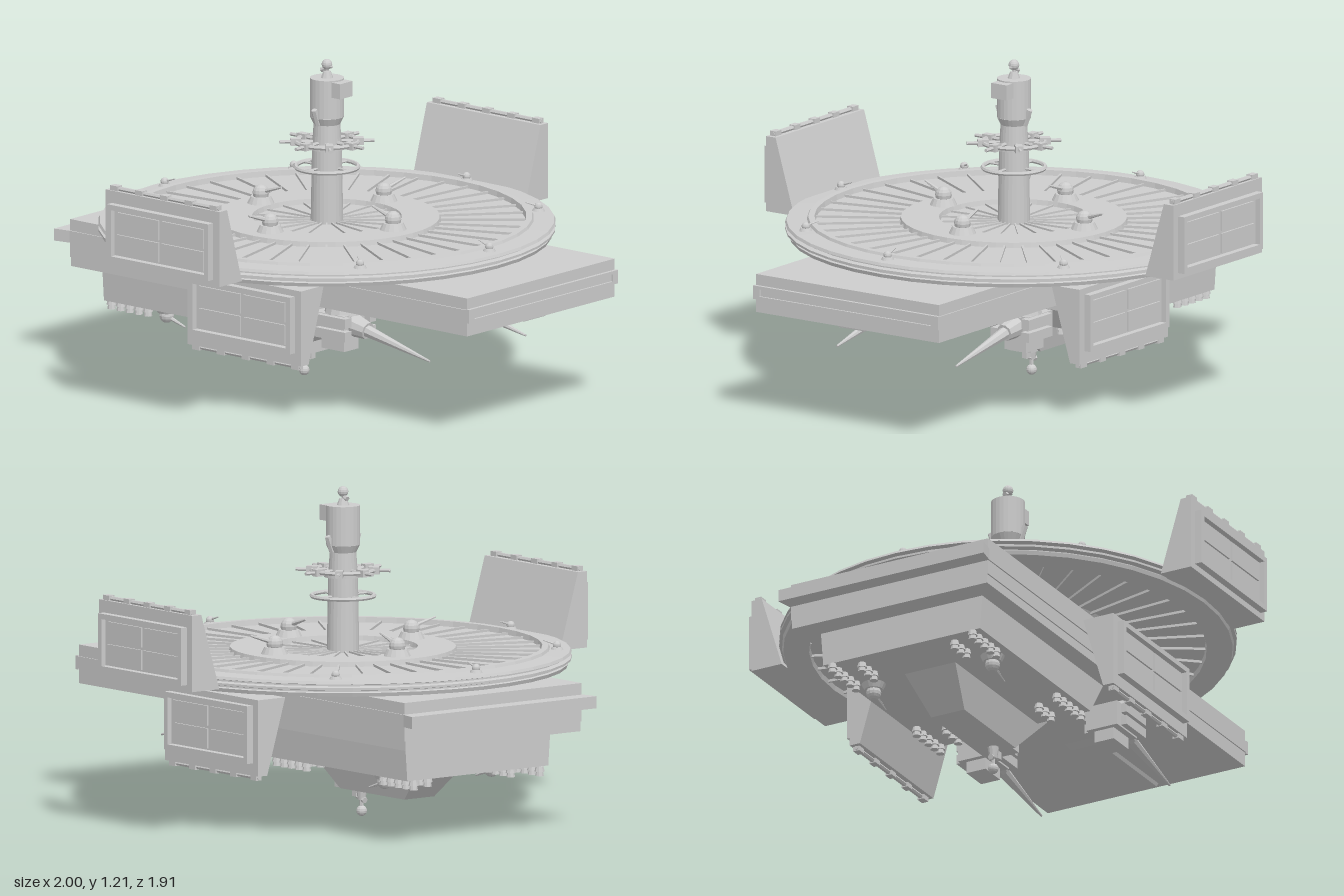
import * as THREE from 'three';

const grey = new THREE.MeshStandardMaterial({ color: 0xcccccc, flatShading: true });
grey.name = 'hull grey';

function add(parent, name, geometry, x = 0, y = 0, z = 0) {
  const m = new THREE.Mesh(geometry, grey);
  m.name = name;
  m.position.set(x, y, z);
  parent.add(m);
  return m;
}

function group(parent, name, x = 0, y = 0, z = 0) {
  const g = new THREE.Group();
  g.name = name;
  g.position.set(x, y, z);
  parent.add(g);
  return g;
}

// box given by its min and max corners
function block(parent, name, x0, x1, y0, y1, z0, z1) {
  return add(parent, name, new THREE.BoxGeometry(x1 - x0, y1 - y0, z1 - z0),
    (x0 + x1) / 2, (y0 + y1) / 2, (z0 + z1) / 2);
}

function cyl(parent, name, rTop, rBottom, h, x, y, z, sides = 16) {
  return add(parent, name, new THREE.CylinderGeometry(rTop, rBottom, h, sides), x, y, z);
}

const ball = (parent, name, r, x, y, z) => add(parent, name, new THREE.SphereGeometry(r, 12, 8), x, y, z);

function shapeOf(points) {
  return new THREE.Shape(points.map(p => new THREE.Vector2(p[0], p[1])));
}

// thin tapering rod between two points
function rod(parent, name, a, b, ra, rb = ra, sides = 6) {
  const A = new THREE.Vector3(...a), B = new THREE.Vector3(...b);
  const d = B.clone().sub(A);
  const m = add(parent, name, new THREE.CylinderGeometry(rb, ra, d.length(), sides));
  m.position.copy(A).addScaledVector(d, 0.5);
  m.quaternion.setFromUnitVectors(new THREE.Vector3(0, 1, 0), d.normalize());
  return m;
}

// frustum box: different half sizes at top and bottom
function taper(top, bottom, y0, y1) {
  const g = new THREE.BoxGeometry(1, 1, 1), p = g.attributes.position;
  for (let i = 0; i < p.count; i++) {
    const up = p.getY(i) > 0, b = up ? top : bottom;
    p.setXYZ(i, p.getX(i) < 0 ? b[0] : b[1], up ? y1 : y0, Math.sign(p.getZ(i)) * b[2]);
  }
  g.computeVertexNormals();
  return g;
}

// wedge-backed panel with framed windows facing +z; dir = 1 stands up, -1 hangs down
function windowPanel(parent, name, x, y, z, dir) {
  const g = group(parent, name, x, y, z);
  const side = [[0, 0], [-0.127, 0], [-0.043, 0.283], [0, 0.283]].map(p => [p[0], p[1] * dir]);
  const geo = new THREE.ExtrudeGeometry(shapeOf(side), { depth: 0.55, bevelEnabled: false });
  geo.rotateY(-Math.PI / 2).translate(0.275, 0, 0);
  geo.scale(1, 1, 1);
  // profile runs along z after the turn
  add(g, 'panelBody', geo);
  const cy = 0.13 * dir;
  block(g, 'windowPlate', -0.225, 0.225, cy - 0.085, cy + 0.085, 0, 0.008);
  for (const s of [-1, 1]) {
    block(g, 'frameRail', -0.245, 0.245, cy + s * 0.097 - 0.01, cy + s * 0.097 + 0.01, 0, 0.028);
    block(g, 'frameStile', s * 0.235 - 0.01, s * 0.235 + 0.01, cy - 0.1, cy + 0.1, 0, 0.028);
    for (const t of [-1, 1]) {
      block(g, 'windowPane', s * 0.108 - 0.1, s * 0.108 + 0.1, cy + t * 0.042 - 0.037, cy + t * 0.042 + 0.037, 0.008, 0.015);
    }
  }
  // edge rail with clamps
  const ry = 0.29 * dir;
  rod(g, 'edgeRail', [-0.26, ry, -0.018], [0.26, ry, -0.018], 0.009);
  for (let i = 0; i < 5; i++) {
    add(g, 'railClamp', new THREE.BoxGeometry(0.035, 0.022, 0.026), -0.24 + i * 0.12, ry, -0.018);
  }
}

// small dome with a slanted barrel
function turret(parent, name, x, y, z, r, angle, dir = 1) {
  const g = group(parent, name, x, y, z);
  cyl(g, 'turretBase', dir > 0 ? r * 0.75 : r, dir > 0 ? r : r * 0.75, r * 0.5, 0, r * 0.25 * dir, 0);
  ball(g, 'turretBall', r * 0.62, 0, r * 0.75 * dir, 0);
  rod(g, 'turretBarrel', [0, r * 0.8 * dir, 0],
    [Math.cos(angle) * r * 2, r * 1.45 * dir, Math.sin(angle) * r * 2], r * 0.2, r * 0.08);
}

export function createModel() {
  const model = new THREE.Group();
  model.name = 'spacePlatform';
  const CX = -0.05;

  // slab hull
  const hull = group(model, 'hull');
  block(hull, 'upperSlab', -0.935, 0.985, 0.5, 0.543, -0.415, 0.415);
  block(hull, 'lowerSlab', -0.935, 0.985, 0.4, 0.455, -0.415, 0.415);
  const rib = new THREE.ExtrudeGeometry(
    shapeOf([[-1, -0.432], [-0.935, -0.42], [0.99, -0.42], [0.99, 0.42], [-0.935, 0.42], [-1, 0.432]]),
    { depth: 0.045, bevelEnabled: false });
  add(hull, 'middleRib', rib.rotateX(-Math.PI / 2), 0, 0.455, 0);
  for (const y of [0.457, 0.496]) block(hull, 'endFrameRail', 0.985, 0.998, y - 0.006, y + 0.006, -0.42, 0.42);
  for (const s of [-1, 1]) block(hull, 'endFramePost', 0.985, 0.998, 0.455, 0.5, s * 0.405 - 0.015, s * 0.405 + 0.015);
  block(hull, 'midDeck', -0.935, 0.2, 0.365, 0.41, -0.41, 0.41);
  add(hull, 'sternFin', taper([0.465, 0.96, 0.07], [0.53, 0.955, 0.06], 0.387, 0.41));

  // lower hold and keel
  add(hull, 'lowerHold', taper([-0.845, 0.06, 0.34], [-0.845, -0.02, 0.33], 0.235, 0.37));
  add(hull, 'keel', taper([-0.72, 0.1, 0.13], [-0.5, -0.12, 0.07], 0.105, 0.32));
  block(hull, 'keelStep', -0.17, -0.075, 0.105, 0.18, -0.06, 0.06);
  cyl(hull, 'keelMount', 0.022, 0.014, 0.05, -0.16, 0.085, 0, 10);
  rod(hull, 'keelAntenna', [-0.16, 0.1, 0], [-0.16, 0.02, 0], 0.008);
  ball(hull, 'keelBall', 0.02, -0.16, 0.02, 0);
  rod(hull, 'keelProbe', [-0.18, 0.06, 0], [-0.13, 0.07, 0], 0.012, 0.006);
  block(hull, 'keelFlag', -0.14, -0.115, 0.07, 0.1, -0.01, 0.01);

  for (const s of [-1, 1]) {
    // landing pads of small nozzles at the hold corners
    for (const x of [-0.75, -0.12]) {
      const pads = group(hull, 'nozzleCluster', x, 0.235, s * 0.245);
      for (let i = -2; i <= 2; i++) for (const k of [-1, 1]) {
        if (Math.abs(i) === 2 && k * s < 0) continue;
        cyl(pads, 'nozzle', 0.014, 0.019, 0.02, i * 0.044, -0.01, k * 0.05, 8);
        cyl(pads, 'nozzleTip', 0.012, 0.016, 0.02, i * 0.044, -0.026, k * 0.05, 8);
      }
    }
    turret(hull, 'bellyTurret', -0.61, 0.235, s * 0.25, 0.045, 0, -1);

    // gun pod with a long spike
    const pod = group(hull, 'gunPod', 0.26, 0, s * 0.27);
    cyl(pod, 'podPlate', 0.09, 0.085, 0.02, 0, 0.392, 0, 20);
    cyl(pod, 'podNeck', 0.06, 0.07, 0.04, 0, 0.37, 0, 12);
    block(pod, 'podBody', -0.09, 0.06, 0.26, 0.355, -0.065, 0.065);
    block(pod, 'podBelly', -0.07, 0.04, 0.215, 0.26, -0.04, 0.04);
    for (const k of [-1, 1]) for (const y of [0.285, 0.335]) {
      block(pod, 'podCheek', -0.06, 0.085, y - 0.018, y + 0.018, k * 0.07 - 0.018, k * 0.07 + 0.018);
    }
    rod(pod, 'spikeCollar', [0.04, 0.315, 0], [0.12, 0.3, 0], 0.045, 0.032, 10);
    rod(pod, 'spike', [0.08, 0.308, 0], [0.42, 0.232, 0], 0.026, 0.004, 8);
  }

  // round deck
  const deck = group(model, 'roundDeck', CX, 0, 0);
  const profile = [[0.05, 0.6], [0.27, 0.6], [0.275, 0.618], [0.415, 0.618], [0.42, 0.6], [0.728, 0.6],
    [0.732, 0.62], [0.755, 0.62], [0.76, 0.61], [0.835, 0.606], [0.84, 0.596], [0.82, 0.592], [0.82, 0.586],
    [0.84, 0.582], [0.84, 0.574], [0.82, 0.57], [0.82, 0.565], [0.83, 0.562], [0.825, 0.548],
    [0.73, 0.548], [0.725, 0.566], [0.42, 0.566], [0.41, 0.55], [0.05, 0.55]];
  const lathe = new THREE.LatheGeometry(profile.reverse().map(p => new THREE.Vector2(...p)), 40);
  add(deck, 'deckDisc', lathe);
  for (let i = 0; i < 40; i++) {
    const a = (i + 0.5) * Math.PI / 20;
    const arm = group(deck, 'deckSpoke');
    arm.rotation.y = a;
    block(arm, 'topRib', 0.415, 0.73, 0.598, 0.609, -0.004, 0.004);
    block(arm, 'undersideRib', 0.415, 0.73, 0.556, 0.568, -0.004, 0.004);
    if (i % 2 === 0) block(arm, 'hubRib', 0.05, 0.272, 0.598, 0.607, -0.003, 0.003);
  }
  for (let i = 0; i < 4; i++) {
    const a = i * Math.PI / 2;
    turret(deck, 'hubTurret', Math.cos(a) * 0.32, 0.618, Math.sin(a) * 0.32, 0.05, a + (i % 2 ? 0.2 : Math.PI));
  }
  for (let i = 0; i < 8; i++) {
    const a = i * Math.PI / 4 + (i % 2 ? -0.08 : 0);
    turret(deck, 'rimTurret', Math.cos(a) * 0.785, 0.606, Math.sin(a) * 0.785, 0.025, a + Math.PI);
  }

  // mast
  const mast = group(model, 'mast', CX, 0, 0);
  cyl(mast, 'mastColumn', 0.055, 0.06, 0.28, 0, 0.74, 0, 24);
  cyl(mast, 'mastWaist', 0.048, 0.055, 0.12, 0, 0.93, 0, 24);
  cyl(mast, 'mastTaper', 0.063, 0.048, 0.03, 0, 0.98, 0, 24);
  cyl(mast, 'mastHead', 0.063, 0.063, 0.145, 0, 1.068, 0, 24);
  block(mast, 'headBox', 0.03, 0.094, 1.078, 1.135, -0.035, 0.035);
  for (const [y, r] of [[0.805, 0.115], [0.9, 0.115]]) {
    add(mast, 'mastRing', new THREE.TorusGeometry(r, 0.008, 6, 32).rotateX(Math.PI / 2), 0, y, 0);
  }
  cyl(mast, 'ringCollar', 0.07, 0.07, 0.02, 0, 0.885, 0, 24);
  for (let i = 0; i < 8; i++) {
    const arm = group(mast, 'ringArm', 0, 0.9, 0);
    arm.rotation.y = i * Math.PI / 4;
    rod(arm, 'armRod', [0.04, 0, 0], [0.175, 0, 0], 0.007);
    block(arm, 'armClamp', 0.095, 0.135, -0.013, 0.013, -0.014, 0.014);
    if (i % 2 === 0) rod(arm, 'lowerStrut', [0.05, -0.095, 0], [0.115, -0.095, 0], 0.005);
  }
  for (const s of [-1, 1]) {
    rod(mast, 'sidePod', [0, 0.97, s * 0.05], [0, 1.03, s * 0.072], 0.012);
  }
  cyl(mast, 'antennaMount', 0.014, 0.025, 0.03, 0, 1.15, 0, 10);
  rod(mast, 'antenna', [0, 1.15, 0], [0, 1.2, 0], 0.007);
  ball(mast, 'antennaBall', 0.02, 0, 1.19, 0);
  rod(mast, 'antennaProbe', [-0.025, 1.165, 0], [0.025, 1.185, 0], 0.01, 0.005);

  // window panels on the front, repeated on the back by a mirrored half turn
  for (const s of [1, -1]) {
    const half = group(model, s > 0 ? 'frontPanels' : 'backPanels');
    if (s < 0) half.rotation.y = Math.PI;
    windowPanel(half, 'upperPanel', CX * s, 0.56, 0.925, 1);
    windowPanel(half, 'lowerPanel', 0.027 * s, 0.488, 0.555, -1);
  }
  return model;
}
